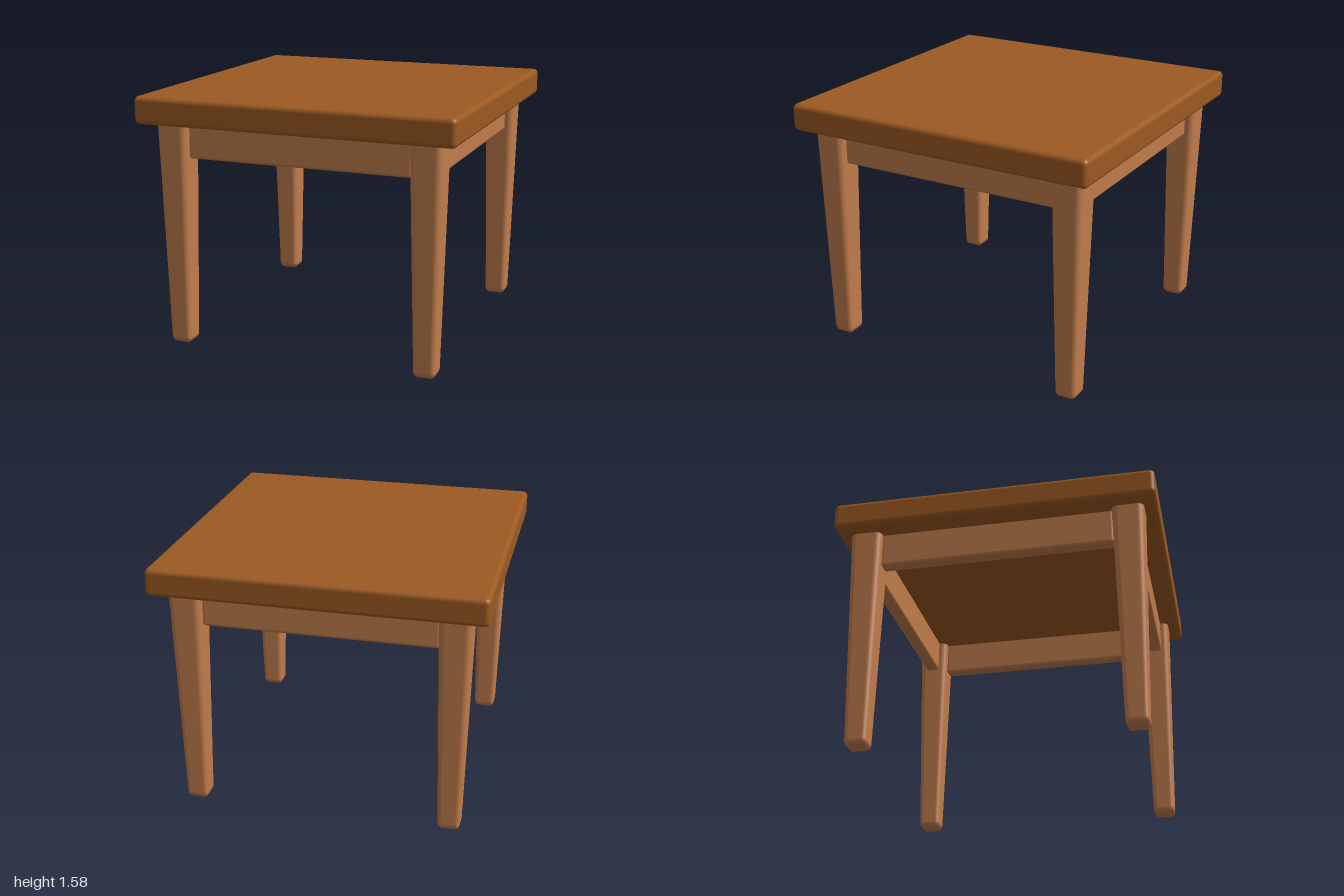
import * as THREE from 'three';
import { RoundedBoxGeometry } from 'three/addons/geometries/RoundedBoxGeometry.js';

const TOP_Y = 1.405; // underside of the table top
const LEG_X = 0.8;
const LEG_Z = 0.82;

// Rounded square post, narrowing towards the foot
function taperedLeg() {
  const height = 1.41;
  const geo = new RoundedBoxGeometry(0.2, height, 0.2, 4, 0.04);
  geo.translate(0, height / 2, 0);
  const p = geo.attributes.position;
  for (let i = 0; i < p.count; i++) {
    const s = THREE.MathUtils.lerp(0.67, 1, p.getY(i) / height);
    p.setX(i, p.getX(i) * s);
    p.setZ(i, p.getZ(i) * s);
  }
  // Keep the top full width where it runs into the table top
  for (let i = 0; i < p.count; i++) {
    if (p.getY(i) > height - 0.041) p.setY(i, p.getY(i) + 0.05);
  }
  return geo;
}

export function createModel() {
  const group = new THREE.Group();
  const topWood = new THREE.MeshStandardMaterial({ color: 0x9c5a22 });
  topWood.name = 'dark wood';
  const legWood = new THREE.MeshStandardMaterial({ color: 0xc07c4c });
  legWood.name = 'light wood';

  const add = (name, geometry, material, x, y, z) => {
    const mesh = new THREE.Mesh(geometry, material);
    mesh.name = name;
    mesh.position.set(x, y, z);
    group.add(mesh);
  };

  // Square top with softened edges
  add('tableTop', new RoundedBoxGeometry(2, 0.17, 2, 4, 0.03), topWood, 0, TOP_Y + 0.085, 0);

  // Four legs
  const leg = taperedLeg();
  for (const sx of [1, -1]) {
    for (const sz of [1, -1]) {
      add(`${sz > 0 ? 'front' : 'back'}${sx > 0 ? 'Left' : 'Right'}Leg`, leg, legWood, sx * LEG_X, 0, sz * LEG_Z);
    }
  }

  // Rails under the top, joining the legs
  const railX = new RoundedBoxGeometry(1.42, 0.25, 0.09, 4, 0.02);
  const railZ = new RoundedBoxGeometry(0.09, 0.25, 1.46, 4, 0.02);
  const railY = 1.19 + 0.125;
  for (const s of [1, -1]) {
    add(s > 0 ? 'frontRail' : 'backRail', railX, legWood, 0, railY, s * LEG_Z);
    add(s > 0 ? 'leftRail' : 'rightRail', railZ, legWood, s * LEG_X, railY, 0);
  }

  return group;
}
